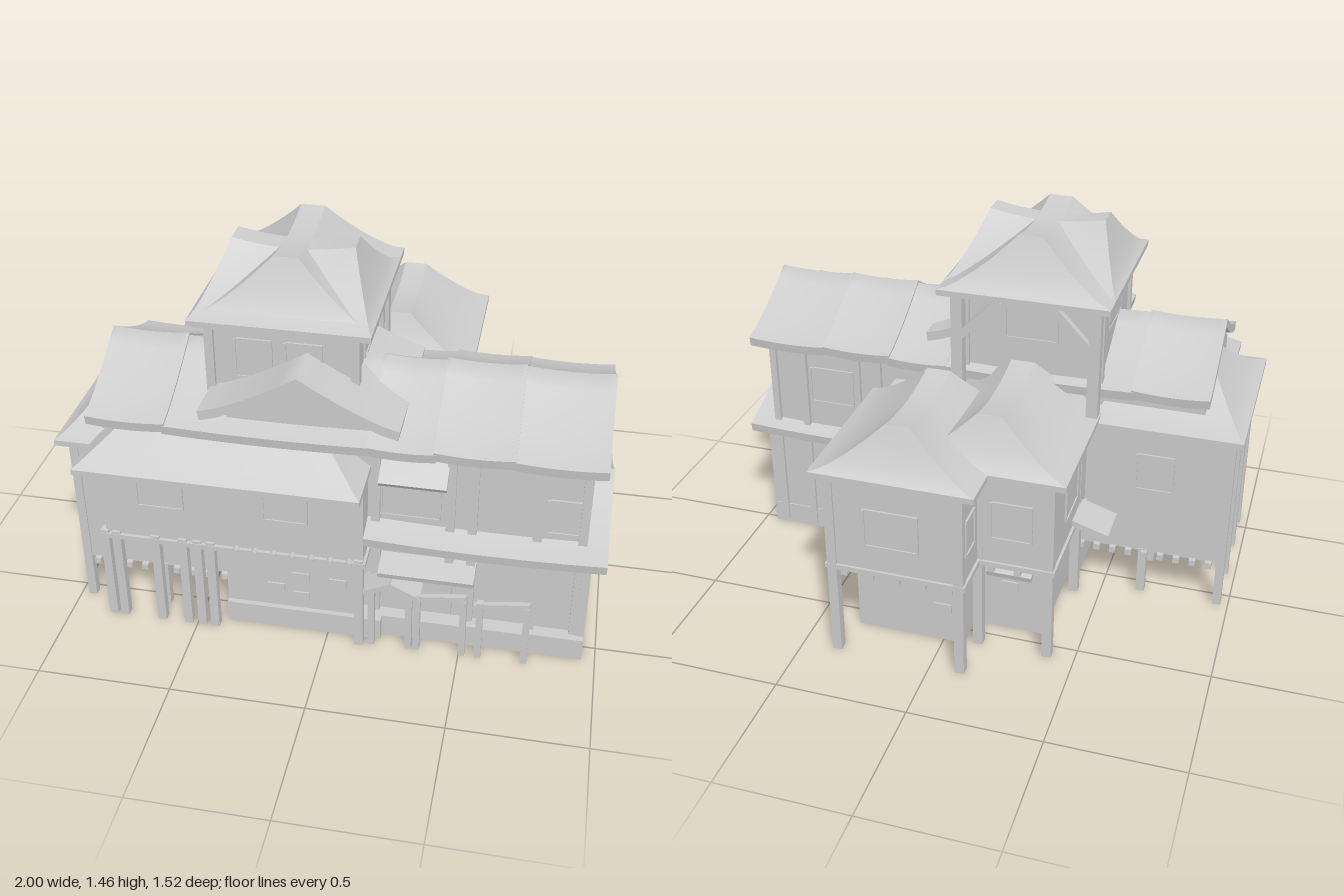
import * as THREE from 'three';
import { toCreasedNormals, mergeGeometries } from 'three/addons/utils/BufferGeometryUtils.js';

const mat = new THREE.MeshStandardMaterial({ color: 0xcccccc, side: THREE.DoubleSide });
const lerp = THREE.MathUtils.lerp;

export function createModel() {
  const model = new THREE.Group();
  const add = (name, geo, parent = model) => {
    const m = new THREE.Mesh(geo, mat);
    m.name = name;
    parent.add(m);
    return m;
  };
  const box = (name, x0, x1, y0, y1, z0, z1, parent = model) => {
    const m = add(name, new THREE.BoxGeometry(x1 - x0, y1 - y0, z1 - z0), parent);
    m.position.set((x0 + x1) / 2, (y0 + y1) / 2, (z0 + z1) / 2);
    return m;
  };
  const post = (x, z, y0, y1, r = 0.016) => box('post', x - r, x + r, y0, y1, z - r, z + r);
  const beam = (name, a, b, r = 0.014) => {
    const A = new THREE.Vector3(...a), B = new THREE.Vector3(...b);
    const m = add(name, new THREE.BoxGeometry(r * 2, r * 2, A.distanceTo(B)));
    m.position.copy(A).lerp(B, 0.5);
    m.lookAt(B);
  };
  // Hollow base: four walls with joists under the floor
  const base = (name, x0, x1, y1, z0, z1) => {
    const g = new THREE.Group(), t = 0.025;
    g.name = name;
    model.add(g);
    box('baseFront', x0, x1, 0, y1, z1 - t, z1, g);
    box('baseBack', x0, x1, 0, y1, z0, z0 + t, g);
    box('baseRight', x0, x0 + t, 0, y1, z0, z1, g);
    box('baseLeft', x1 - t, x1, 0, y1, z0, z1, g);
    for (let x = x0 + 0.1; x < x1 - 0.04; x += 0.11) box('joist', x - 0.01, x + 0.01, y1 - 0.04, y1, z0, z1, g);
  };

  // Rectangular patch of cells from a function of (u, v)
  const patch = (fn, nu, nv) => {
    const pos = [], idx = [];
    for (let j = 0; j <= nv; j++) for (let i = 0; i <= nu; i++) pos.push(...fn(i / nu, j / nv));
    for (let j = 0; j < nv; j++) for (let i = 0; i < nu; i++) {
      const a = j * (nu + 1) + i, c = a + nu + 1;
      idx.push(a, a + 1, c + 1, a, c + 1, c);
    }
    const g = new THREE.BufferGeometry();
    g.setAttribute('position', new THREE.Float32BufferAttribute(pos, 3));
    g.setIndex(idx);
    g.computeVertexNormals();
    return g;
  };

  // Concave hip roof: eave rectangle, narrow ridge (half sizes rx, rz) that sags by dip
  const hipRoof = (name, x0, x1, z0, z1, y0, y1, rx, rz, p = 1.4, dip = 0.025) => {
    const g = new THREE.Group();
    g.name = name;
    g.position.set((x0 + x1) / 2, 0, (z0 + z1) / 2);
    const HX = (x1 - x0) / 2, HZ = (z1 - z0) / 2;
    const c = [[1, 1], [1, -1], [-1, -1], [-1, 1]];
    const parts = c.map((a, i) => {
      const b = c[(i + 1) % 4], long = (i % 2 === 0) === (rz > rx);
      return patch((u, t) => [
        lerp(HX, rx, t) * lerp(a[0], b[0], u),
        lerp(y0, y1, t ** p) - (long ? dip * t * t * (1 - (2 * u - 1) ** 2) : 0),
        lerp(HZ, rz, t) * lerp(a[1], b[1], u)], 10, 8);
    });
    parts.push(patch((u, v) => [rx * (2 * u - 1),
      y1 - dip * (1 - (2 * (rz > rx ? v : u) - 1) ** 2), rz * (1 - 2 * v)], 10, 10));
    add('roofSlopes', mergeGeometries(parts), g);
    box('eave', -HX, HX, y0 - 0.022, y0, -HZ, HZ, g);
    model.add(g);
  };

  // Curved gable roof of one shared profile; runs along +z from 0, peak at y = 0
  const HALF = 0.355, RISE = 0.17, THICK = 0.036;
  const gable = (name, len, sag) => {
    const top = [];
    for (let i = 0; i <= 12; i++) {
      const k = i / 6 - 1;
      top.push(new THREE.Vector2(k * HALF, -RISE * (1 - (1 - Math.abs(k)) ** 1.3)));
    }
    const under = top.map(v => new THREE.Vector2(v.x * 0.985, v.y - THICK)).reverse();
    const geo = new THREE.ExtrudeGeometry(new THREE.Shape([...top, ...under]),
      { depth: len, steps: 12, bevelEnabled: false });
    const p = geo.attributes.position;
    for (let i = 0; i < p.count; i++) {
      const k = 2 * p.getZ(i) / len - 1;
      p.setY(i, p.getY(i) - sag * (1 - k * k));
    }
    return add(name, toCreasedNormals(geo, 1.25));
  };
  // Wall with a pointed top that fills a gable
  const gableWall = (name, half, y0, yEave, yPeak, depth) => add(name, new THREE.ExtrudeGeometry(
    new THREE.Shape([[-half, y0], [half, y0], [half, yEave], [0, yPeak], [-half, yEave]]
      .map(a => new THREE.Vector2(...a))), { depth, bevelEnabled: false }));

  // Slim framed window; angle turns it from +z about y
  const windowAt = (x, y, z, w, h, angle, name = 'window') => {
    const g = new THREE.Group();
    g.name = name;
    const f = 0.008;
    box('pane', -w / 2, w / 2, -h / 2, h / 2, -0.01, 0.003, g);
    for (const s of [-1, 1]) {
      box('frameSide', s * w / 2 - f, s * w / 2, -h / 2, h / 2, -0.01, 0.008, g);
      box('frameRail', -w / 2, w / 2, s * h / 2 - f / 2, s * h / 2 + f / 2, -0.01, 0.008, g);
    }
    g.position.set(x, y, z);
    g.rotation.y = angle;
    model.add(g);
  };
  const R = Math.PI / 2;

  // Main hall: plinth, ground floor, upper floor
  base('plinth', -0.39, 0.95, 0.09, -0.02, 0.57);
  box('plinthFloor', -0.39, 0.95, 0.08, 0.09, -0.02, 0.57);
  box('groundWalls', -0.39, 0.93, 0.09, 0.5, -0.015, 0.52);
  let m = gableWall('lowerGableWall', 0.27, 0.09, 0.5, 0.635, 0.03);
  m.rotation.y = R; m.position.set(0.915, 0, 0.265);
  m = gableWall('upperHall', 0.275, 0.38, 0.88, 1.02, 1.76);
  m.rotation.y = R; m.position.set(-0.84, 0, 0.265);
  box('gableBeam', 0.91, 0.93, 0.86, 0.92, 0.02, 0.53);

  // Main roof in overlapping panels
  for (const [x0, x1, y] of [[-0.86, -0.57, 1.068], [-0.58, 0.16, 1.06], [0.15, 0.39, 1.062],
    [0.38, 0.66, 1.07], [0.65, 0.97, 1.066]]) {
    m = gable('mainRoofPanel', x1 - x0, 0.008);
    m.rotation.y = R; m.position.set(x0, y, 0.28);
  }
  m = gable('lowerRoof', 0.87, 0.012);
  m.rotation.y = R; m.position.set(0.13, 0.668, 0.28);

  // Dormer gable over the front
  m = gable('dormerRoof', 0.59, 0);
  m.position.set(-0.09, 1.135, 0.04);
  m = gableWall('dormerWall', 0.27, 0.85, 0.97, 1.09, 0.48);
  m.position.set(-0.09, 0, 0.08);

  // Raised left end and front wing
  box('leftUpperWalls', -0.95, -0.4, 0.19, 0.75, -0.06, 0.55);
  hipRoof('leftRoof', -1, -0.4, -0.11, 0.61, 0.76, 0.965, 0.11, 0.045, 1.35, 0);
  box('frontWingWalls', -0.83, 0.14, 0.38, 0.75, 0.4, 0.635);
  box('frontWingSill', -0.85, 0.15, 0.37, 0.39, 0.4, 0.648);
  hipRoof('frontWingRoof', -0.88, 0.15, 0.36, 0.76, 0.75, 0.875, 0.36, 0.03, 1.05, 0);
  box('frontGroundWall', -0.39, 0.11, 0.09, 0.38, 0.4, 0.58);
  box('frontGroundBase', -0.39, 0.2, 0, 0.09, 0.55, 0.6);
  for (const x of [-0.835, -0.79, -0.64, -0.535, -0.48, -0.43, 0.125]) post(x, 0.63, 0, 0.4);
  for (const z of [-0.05, 0.16, 0.36, 0.54]) {
    post(-0.955, z, 0, 0.74);
    post(-0.65, z, 0, 0.2);
  }
  for (let i = 0; i < 9; i++) {
    const x = -0.91 + i * 0.063;
    box('floorJoist', x - 0.012, x + 0.012, 0.17, 0.195, -0.08, 0.57);
  }

  // Back blocks, raised on posts over smaller ground floors
  hipRoof('backRoofA', -0.18, 0.43, -0.765, -0.12, 0.778, 0.955, 0.045, 0.22, 1.4);
  hipRoof('backRoofB', -0.46, 0.15, -0.605, 0.04, 0.778, 0.955, 0.045, 0.215, 1.4);
  box('backWallsA', -0.13, 0.38, 0.38, 0.77, -0.74, 0.02);
  box('backWallsB', -0.41, -0.1, 0.38, 0.77, -0.565, 0.02);
  box('backGroundA', -0.08, 0.34, 0.09, 0.38, -0.58, 0);
  box('backGroundB', -0.35, -0.08, 0.09, 0.38, -0.44, 0);
  base('backBaseA', -0.08, 0.34, 0.09, -0.58, 0);
  base('backBaseB', -0.35, -0.08, 0.09, -0.44, 0);
  box('backSillA', -0.14, 0.39, 0.37, 0.39, -0.75, 0);
  box('backSillB', -0.42, -0.1, 0.37, 0.39, -0.575, 0);
  for (const [x, z] of [[-0.115, -0.73], [0.365, -0.73], [0.365, -0.145], [-0.395, -0.55],
    [-0.395, -0.13], [-0.13, -0.55]]) post(x, z, 0, 0.77, 0.018);
  for (let i = 0; i < 8; i++) {
    const x = -0.38 + i * 0.1, z = x < -0.13 ? -0.57 : -0.745;
    box('floorJoist', x - 0.012, x + 0.012, 0.345, 0.37, z, -0.02);
  }

  // Tower with crossed hip roofs and a braced rear overhang
  box('towerWalls', -0.445, 0.08, 0.85, 1.24, -0.03, 0.45);
  hipRoof('towerRoofLengthwise', -0.5, 0.145, -0.18, 0.49, 1.255, 1.455, 0.045, 0.22, 1.4);
  hipRoof('towerRoofCrosswise', -0.5, 0.145, -0.1, 0.52, 1.255, 1.455, 0.22, 0.045, 1.4);
  for (const x of [-0.44, 0.08]) {
    post(x, 0.45, 0.88, 1.24);
    post(x, -0.03, 0.85, 1.24);
    post(x, -0.125, 0.8, 1.24, 0.022);
    beam('brace', [x, 1.05, -0.13], [x < -0.2 ? x + 0.16 : x - 0.16, 1.22, -0.13]);
    windowAt(x, 1.12, 0.2, 0.21, 0.14, x < -0.2 ? -R : R, 'towerShutter');
  }
  for (const x of [-0.28, -0.1]) windowAt(x, 1.09, 0.45, 0.13, 0.15, 0, 'towerShutter');
  windowAt(-0.18, 1.1, -0.03, 0.2, 0.14, 2 * R, 'towerShutter');

  // Framed windows on all sides
  for (const w of [
    [-0.605, 0.605, 0.635, 0.17, 0.14, 0], [-0.14, 0.605, 0.635, 0.16, 0.14, 0],
    [0.3, 0.63, 0.54, 0.21, 0.16, 0], [0.85, 0.62, 0.54, 0.13, 0.14, 0],
    [0.38, 0.57, -0.17, 0.16, 0.14, R], [0.38, 0.57, -0.485, 0.15, 0.14, R],
    [0.13, 0.57, -0.74, 0.2, 0.15, 2 * R], [-0.26, 0.57, -0.565, 0.15, 0.15, 2 * R],
    [-0.41, 0.57, -0.3, 0.18, 0.15, -R], [-0.13, 0.57, -0.66, 0.1, 0.14, -R],
    [-0.95, 0.55, 0.25, 0.18, 0.15, -R], [0.65, 0.69, -0.01, 0.18, 0.15, 2 * R],
    [-0.68, 0.55, -0.06, 0.14, 0.15, 2 * R]]) windowAt(...w);
  // Stone blocks set in the ground floor walls
  for (const [x, y, z, turned] of [[-0.105, 0.24, 0.58], [-0.105, 0.15, 0.58], [-0.2, 0.18, 0.58],
    [0.035, 0.23, 0.58], [0.945, 0.335, 0.28, 1], [0.34, 0.22, -0.24, 1], [0.34, 0.26, -0.41, 1],
    [0.34, 0.215, -0.105, 1], [0.34, 0.105, -0.09, 1], [0.2, 0.25, -0.58], [0, 0.15, -0.58],
    [-0.22, 0.2, -0.44], [-0.35, 0.22, -0.25, 1]]) {
    const hx = turned ? 0.007 : 0.033, hz = turned ? 0.03 : 0.007;
    box('stoneBlock', x - hx, x + hx, y - 0.018, y + 0.018, z - hz, z + hz);
  }

  // Wall posts of the hall
  for (const x of [0.17, 0.44, 0.52, 0.75, 0.91]) {
    post(x, 0.54, 0.5, 0.88);
    post(x, 0.525, 0.09, 0.5);
  }
  for (const x of [0.45, 0.54, 0.77, 0.9]) post(x, -0.015, 0.02, 0.88, 0.013);
  for (const z of [0, 0.53]) post(0.935, z, 0.09, 0.5);
  // Round beam ends
  const logEnd = (x, y, z, len, turn) => {
    const l = add('beamEnd', new THREE.CylinderGeometry(0.013, 0.013, len, 8));
    l.position.set(x, y, z);
    l.rotation.set(turn ? 0 : R, 0, turn ? R : 0);
  };
  for (let i = 0; i < 5; i++) logEnd(0.955, 0.385, 0.42 - i * 0.072, 0.08, true);
  for (let i = 0; i < 7; i++) logEnd(-0.33 + i * 0.07, 0.385, 0.63, 0.06, false);
  for (let i = 0; i < 12; i++) logEnd(0.2 + i * 0.06, 0.465, 0.56, 0.1, false);

  // Sloping awnings
  const awning = (x0, x1, y, z0, z1, tiltX, tiltZ = 0) => {
    const a = box('awning', x0, x1, y - 0.011, y + 0.011, z0, z1);
    a.rotation.set(tiltX, 0, tiltZ);
  };
  awning(0.19, 0.43, 0.765, 0.52, 0.63, 0.6);
  awning(0.19, 0.54, 0.34, 0.5, 0.62, 0.25);
  awning(-0.55, -0.38, 0.39, -0.27, -0.11, 0, 0.3);
  awning(-0.33, -0.16, 0.35, -0.56, -0.4, -0.3);

  // Entrance porch with a small pitched roof, and street stalls
  for (const s of [-1, 1]) {
    beam('porchRafter', [0.24, 0.29, 0.625], [0.24 + s * 0.1, 0.245, 0.625], 0.01);
    const r = box('porchRoof', -0.06, 0.06, -0.008, 0.008, -0.06, 0.06);
    r.position.set(0.24 + s * 0.052, 0.268, 0.575);
    r.rotation.z = -s * 0.46;
    post(0.24 + s * 0.07, 0.62, 0, 0.26, 0.012);
  }
  for (const [x0, x1] of [[0.34, 0.51], [0.57, 0.74]]) {
    beam('stallLintel', [x0 - 0.02, 0.24, 0.62], [x1 + 0.01, 0.27, 0.62], 0.01);
    box('stallCounter', x0, x1, 0.09, 0.13, 0.56, 0.62);
    for (const x of [x0, x1]) post(x, 0.62, 0, 0.26, 0.012);
  }
  return model;
}
